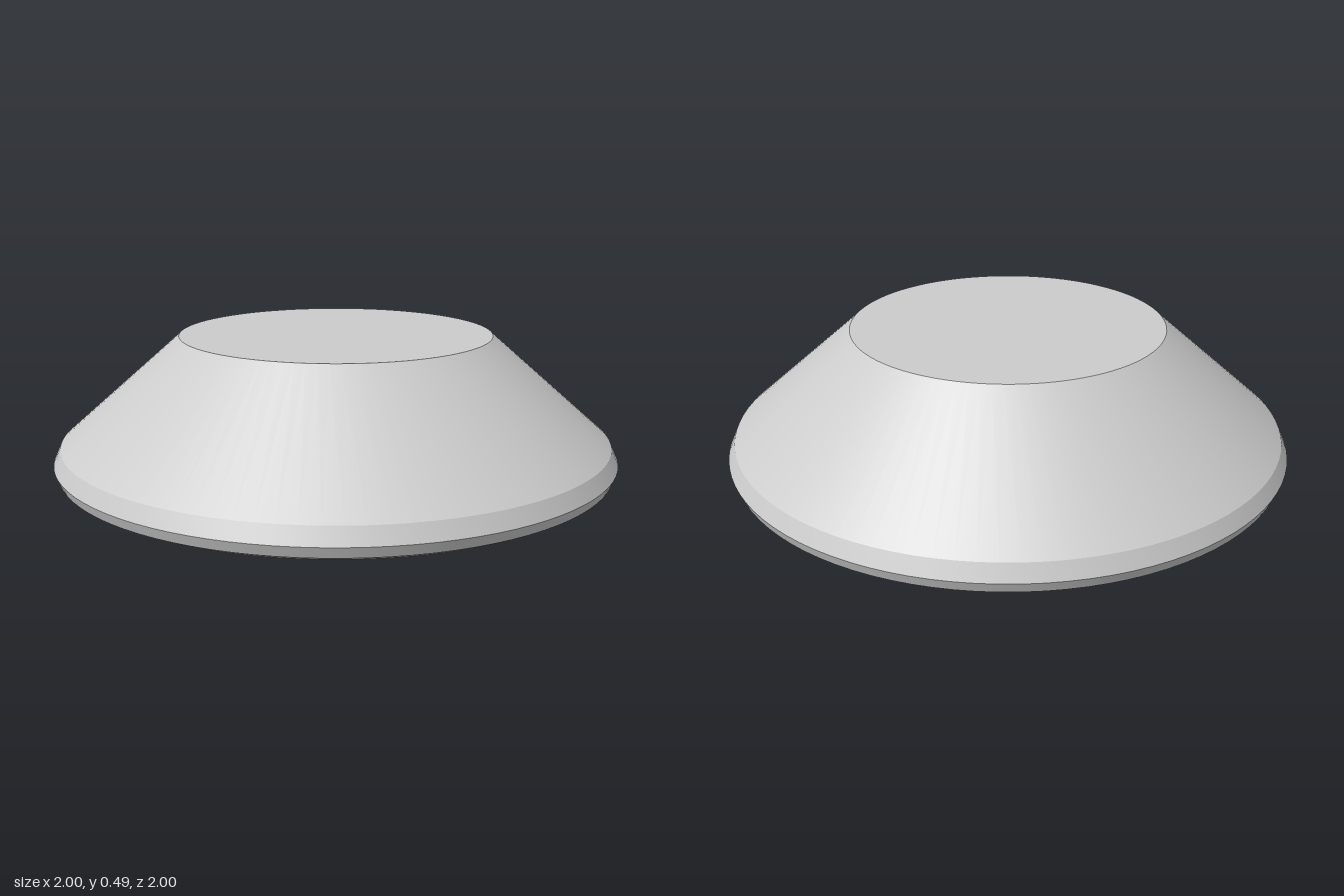
import * as THREE from 'three';
import { toCreasedNormals } from 'three/addons/utils/BufferGeometryUtils.js';

export function createModel() {
  const group = new THREE.Group();
  group.name = 'taperedFoot';
  const material = new THREE.MeshStandardMaterial({ color: 0xcccccc });

  // Turned part: smooth around the axis, sharp between the bands of the profile
  const turned = (name, points) => {
    const profile = points.map(([r, y]) => new THREE.Vector2(r, y));
    const geometry = toCreasedNormals(new THREE.LatheGeometry(profile, 96), 0.18);
    const mesh = new THREE.Mesh(geometry, material);
    mesh.name = name;
    group.add(mesh);
  };

  // Flat underside with a shallow rounded rim
  turned('base', [[0, 0], [0.92, 0], [0.955, 0.012], [0.985, 0.028], [1, 0.065]]);

  // Steep edge band, conical flank and flat top
  turned('body', [[1, 0.065], [0.975, 0.12], [0.555, 0.488], [0, 0.488]]);

  return group;
}
